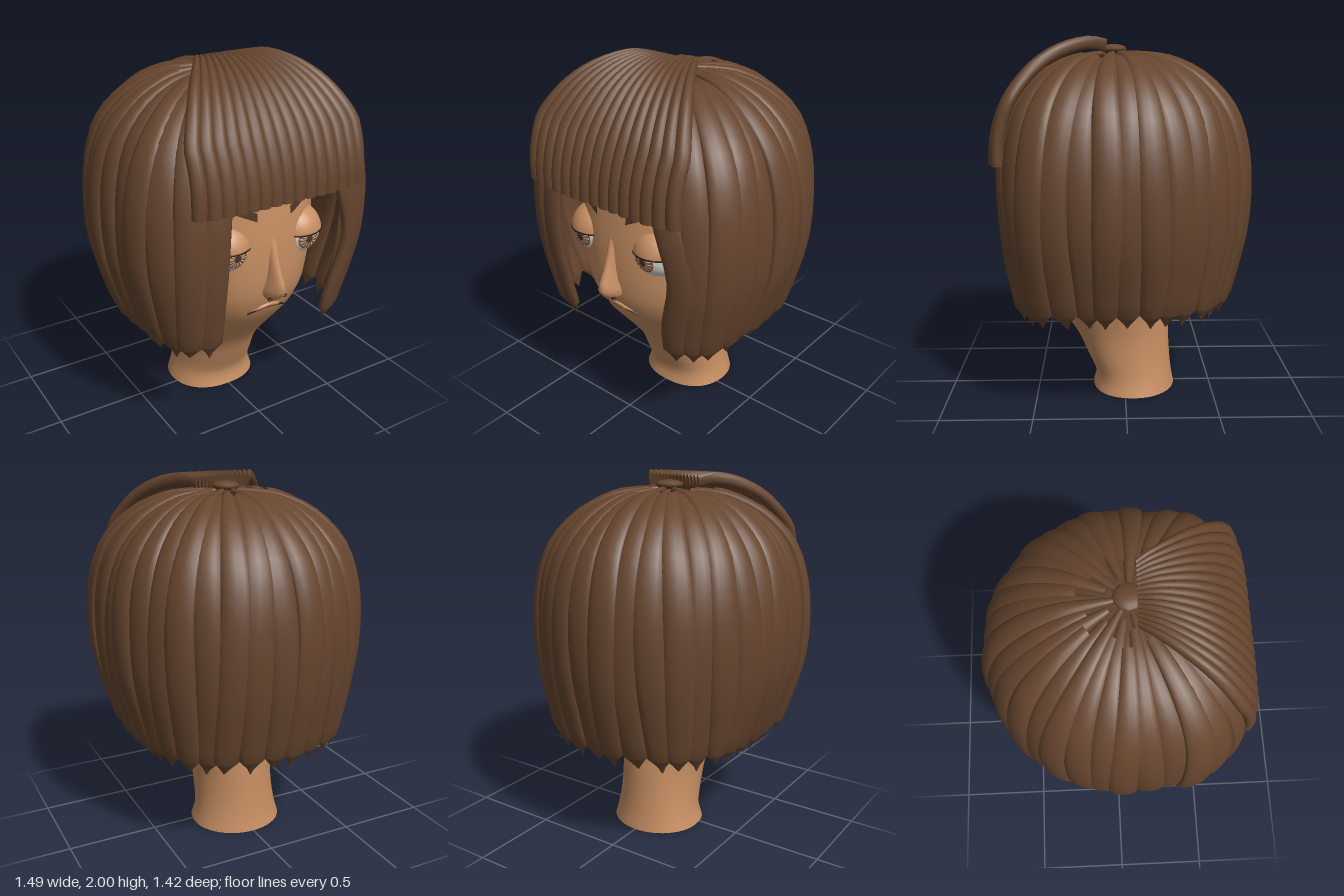
import * as THREE from 'three';

const mat = (name, color, side = THREE.FrontSide) => {
  const m = new THREE.MeshStandardMaterial({ color, side });
  m.name = name;
  return m;
};
const V = (x, y, z) => new THREE.Vector3(x, y, z);

// Smooth interpolation of a table whose first column is the parameter
function sample(tbl, t, col) {
  const n = tbl.length - 1;
  t = Math.min(Math.max(t, tbl[0][0]), tbl[n][0]);
  let i = 0;
  while (i < n - 1 && t > tbl[i + 1][0]) i++;
  const slope = (k) => {
    const a = tbl[Math.max(k - 1, 0)], b = tbl[Math.min(k + 1, n)];
    return (b[col] - a[col]) / (b[0] - a[0]);
  };
  const h = tbl[i + 1][0] - tbl[i][0], u = (t - tbl[i][0]) / h;
  const u2 = u * u, u3 = u2 * u;
  return (2 * u3 - 3 * u2 + 1) * tbl[i][col] + (u3 - 2 * u2 + u) * h * slope(i)
    + (3 * u2 - 2 * u3) * tbl[i + 1][col] + (u3 - u2) * h * slope(i + 1);
}

// Skin closed rings of points into a capped solid
function loft(rings) {
  const m = rings[0].length, pos = [], idx = [];
  const add = (ring) => ring.forEach((p) => pos.push(p.x, p.y, p.z));
  rings.forEach(add);
  for (let i = 0; i < rings.length - 1; i++) for (let j = 0; j < m; j++) {
    const a = i * m + j, b = i * m + (j + 1) % m;
    idx.push(a, b, a + m, b, b + m, a + m);
  }
  [rings[0], rings[rings.length - 1]].forEach((ring, end) => {
    const base = pos.length / 3;
    add(ring);
    const c = ring.reduce((s, p) => s.add(p), V(0, 0, 0)).divideScalar(m);
    pos.push(c.x, c.y, c.z);
    for (let j = 0; j < m; j++) {
      const a = base + j, b = base + (j + 1) % m;
      idx.push(base + m, end ? a : b, end ? b : a);
    }
  });
  const g = new THREE.BufferGeometry();
  g.setAttribute('position', new THREE.Float32BufferAttribute(pos, 3));
  g.setIndex(idx);
  g.computeVertexNormals();
  return g;
}

// Flattened lock of hair along points, with outward hints and half sizes
function lock(pts, outs, wide, thick, sides = 12) {
  return loft(pts.map((p, i) => {
    const T = pts[Math.min(i + 1, pts.length - 1)].clone().sub(pts[Math.max(i - 1, 0)]).normalize();
    const N = outs[i].clone().addScaledVector(T, -outs[i].dot(T)).normalize();
    const S = N.clone().cross(T);
    return Array.from({ length: sides }, (_, j) => {
      const a = j / sides * Math.PI * 2;
      return p.clone().addScaledVector(S, Math.cos(a) * wide[i]).addScaledVector(N, Math.sin(a) * thick[i]);
    });
  }));
}

// Head sections: height, half width, front z, back z
const HEAD = [[0, .26, .18, -.29], [.08, .237, .165, -.275], [.2, .225, .215, -.263], [.35, .228, .285, -.255],
  [.5, .265, .4, -.25], [.58, .31, .465, -.28], [.68, .36, .535, -.34], [.8, .41, .58, -.42], [1, .452, .595, -.5],
  [1.2, .47, .585, -.55], [1.4, .47, .555, -.56], [1.6, .43, .47, -.48], [1.75, .33, .34, -.36], [1.85, .17, .18, -.18]];
const pw = (v, e) => Math.sign(v) * Math.abs(v) ** e;
const headAt = (y) => [1, 2, 3].map((c) => sample(HEAD, y, c));
function faceZ(x, y) {
  const [w, f, b] = headAt(y);
  return (f + b) / 2 + (f - b) / 2 * (1 - Math.min(Math.abs(x) / w, 1) ** 2.3) ** (1 / 2.3);
}

// Hair profile: parameter, spread, height
const HAIR = [[0, .05, 1.935], [.1, .25, 1.92], [.22, .45, 1.885], [.34, .68, 1.79], [.46, .87, 1.635],
  [.58, .967, 1.44], [.7, 1, 1.22], [.8, .985, 1], [.9, .92, .8], [1, .84, .61]];
function hairRadius(th) {
  const c = Math.cos(th), p = c > 0 ? 3.2 : 2, h = c > 0 ? .64 : .77;
  return ((Math.abs(Math.sin(th)) / .74) ** p + (Math.abs(c) / h) ** p) ** (-1 / p);
}
function hairPoint(th, s, inset) {
  const f = sample(HAIR, s, 1), r = hairRadius(th) - inset;
  const x = Math.sin(th) * r, z = Math.cos(th) * r;
  if (s < .7) return V(x * f, sample(HAIR, s, 2) - inset * (1 - f), z * f + .06);
  const d = 1 - f;
  return V(x * (1 - 1.25 * d * (x / .74) ** 2), sample(HAIR, s, 2), z * (1 - .8 * d) + .06);
}
function hairOut(th, s) {
  const a = hairPoint(th + .02, s, 0).sub(hairPoint(th - .02, s, 0));
  const b = hairPoint(th, Math.min(s + .02, 1), 0).sub(hairPoint(th, Math.max(s - .02, 0), 0));
  const n = b.cross(a).normalize();
  return n.dot(hairPoint(th, s, 0).sub(V(0, 1, .06))) < 0 ? n.negate() : n;
}
// Inner sheet behind the locks
function shell(th0, th1, s1) {
  const g = new THREE.PlaneGeometry(1, 1, 64, 24), p = g.attributes.position;
  for (let i = 0; i < p.count; i++) {
    const q = hairPoint(th0 + (th1 - th0) * (p.getX(i) + .5), s1 * (.5 - p.getY(i)), .075);
    p.setXYZ(i, q.x, q.y, q.z);
  }
  g.computeVertexNormals();
  return g;
}

export function createModel() {
  const root = new THREE.Group();
  const skin = mat('skin', 0xc68e62), hair = mat('hair', 0x66452e);
  const hairInside = mat('inner hair', 0x5c3e29, THREE.DoubleSide);
  const brow = mat('brow', 0x4e3425, THREE.DoubleSide), dark = mat('dark line', 0x2b1c14);
  const white = mat('eye white', 0xd9d8d0), iris = mat('iris', 0x8f5831);
  const add = (name, geo, m, parent = root) => {
    const o = new THREE.Mesh(geo, m);
    o.name = name;
    parent.add(o);
    return o;
  };

  // Head and neck
  const rows = Array.from({ length: 48 }, (_, i) => i / 47 * 1.85);
  add('head', loft(rows.map((y) => {
    const [w, f, b] = headAt(y);
    return Array.from({ length: 48 }, (_, j) => {
      const a = j / 48 * Math.PI * 2, e = Math.cos(a) > 0 ? 2 / 2.3 : 1;
      return V(w * pw(Math.sin(a), e), y, (f + b) / 2 + (f - b) / 2 * pw(Math.cos(a), e));
    });
  })), skin);

  // Nose: height, half width, tip z
  const NOSE = [[.765, .014, .585], [.79, .04, .625], [.82, .06, .665], [.86, .055, .69], [.9, .042, .68],
    [.97, .034, .645], [1.05, .032, .615], [1.13, .028, .592]];
  add('nose', loft(NOSE.map(([y, w, z]) => Array.from({ length: 16 }, (_, j) => {
    const a = j / 16 * Math.PI * 2, back = faceZ(0, y) - .03;
    return V(w * Math.sin(a), y, back + (z - back) * Math.cos(a));
  }))), skin);

  // Mouth
  const lip = [-.115, -.06, 0, .06, .115].map((x) => {
    const y = .69 + .032 * (1 - (x / .115) ** 2);
    return V(x, y, faceZ(x, y) + .003);
  });
  add('mouth', new THREE.TubeGeometry(new THREE.CatmullRomCurve3(lip), 24, .006, 6), dark);
  const upper = lip.map((p) => V(p.x * .75, p.y + .012, p.z + .002));
  add('upperLip', new THREE.TubeGeometry(new THREE.CatmullRomCurve3(upper), 24, .012, 8), skin);

  for (const s of [-1, 1]) {
    const side = s > 0 ? 'left' : 'right';
    const nostril = add(side + 'Nostril', new THREE.SphereGeometry(.013, 10, 8), dark);
    nostril.position.set(s * .045, .81, .633);
    nostril.scale.set(1.2, .6, 1);

    // Eye with heavy upper lid
    const eye = new THREE.Group();
    eye.name = side + 'Eye';
    eye.position.set(s * .222, 1.09, .462);
    root.add(eye);
    add('eyeball', new THREE.SphereGeometry(.135, 32, 24), white, eye);
    add('upperLid', new THREE.SphereGeometry(.143, 32, 14, 0, Math.PI * 2, 0, 1.5), skin, eye);
    const lash = add('lashLine', new THREE.TorusGeometry(.141, .005, 6, 32, Math.PI), dark, eye);
    lash.rotation.x = Math.PI / 2;
    lash.position.y = .009;
    const look = new THREE.Group();
    look.rotation.x = Math.PI / 2 + .13;
    eye.add(look);
    for (let k = 0; k < 14; k++)
      add('irisRay', new THREE.SphereGeometry(.1375, 3, 4, k / 14 * Math.PI * 2, .29, .1, .36), iris, look);
    add('irisRing', new THREE.SphereGeometry(.1376, 32, 2, 0, Math.PI * 2, .41, .05), iris, look);
    add('pupil', new THREE.SphereGeometry(.138, 20, 4, 0, Math.PI * 2, 0, .15), brow, look);

    // Eyebrow plate following the forehead
    const g = new THREE.PlaneGeometry(1, 1, 10, 2), p = g.attributes.position;
    for (let i = 0; i < p.count; i++) {
      const u = p.getX(i) + .5, x = s * (.1 + .23 * u);
      const y = 1.26 + .075 * Math.min(u * 1.25, 1) - .015 * Math.max(0, u - .8) * 5
        + p.getY(i) * (u > .8 ? .03 - .1 * (u - .8) : .046 - .02 * u);
      p.setXYZ(i, x, y, faceZ(x, y) + .009);
    }
    g.computeVertexNormals();
    add(side + 'Eyebrow', g, brow);
  }

  // Inner hair sheets
  add('innerHair', shell(.66, Math.PI * 2 - .58, 1), hairInside);
  add('frontCap', shell(-.6, .68, .5), hairInside);
  const crown = add('crown', new THREE.SphereGeometry(.075, 10, 8), hair);
  crown.scale.y = .35;
  crown.position.set(0, 1.93, .06);

  // Locks around the sides and back, each ending in a point
  const COUNT = 30, TH0 = .63, TH1 = Math.PI * 2 - .575, step = (TH1 - TH0) / (COUNT - 1);
  for (let k = 0; k < COUNT; k++) {
    const th0 = TH0 + k * step, start = [.02, .12, .05, .15, .08][k % 5];
    const inset = Math.abs(Math.abs(th0 - Math.PI) - 1.78) < step / 2 ? .06 : .035 + .008 * Math.sin(k * 2.4);
    const pts = [], outs = [], wide = [], thick = [];
    for (let i = 0; i <= 22; i++) {
      const s = start + (1 - start) * i / 22, f = sample(HAIR, s, 1);
      const th = th0 + .02 * Math.sin(s * 7 + k * 1.9)
        + (k === 0 ? .12 * Math.exp(-(((s - .78) / .12) ** 2)) : 0);
      pts.push(hairPoint(th, s, inset));
      outs.push(hairOut(th, s));
      wide.push(hairRadius(th) * step * .62 * (.1 + .9 * f));
      thick.push(.012 + .023 * f);
    }
    const end = pts[22], dir = end.clone().sub(pts[21]).normalize(), w = wide[22];
    for (const [d, a] of [[.03, .62], [.06, .28], [.092 + .012 * Math.sin(k * 3.1), .03]]) {
      pts.push(end.clone().addScaledVector(dir, d));
      outs.push(outs[22]);
      wide.push(w * a);
      thick.push(.03 * a);
    }
    add('hairLock', lock(pts, outs, wide, thick), hair);
  }

  // Blunt fringe fanning forward from the crown
  const path = new THREE.CatmullRomCurve3([[.105, 1.95], [.19, 1.964], [.32, 1.935], [.44, 1.868], [.53, 1.78],
    [.6, 1.68], [.65, 1.56], [.673, 1.45], [.677, 1.36]].map(([z, y]) => V(0, y, z)));
  const BANGS = 15;
  for (let k = 0; k < BANGS; k++) {
    const u = (k - (BANGS - 1) / 2) / (BANGS / 2);
    const pts = [], outs = [], wide = [], thick = [];
    for (let i = 0; i <= 22; i++) {
      const c = path.getPoint(i / 22), t = path.getTangent(i / 22);
      const half = .16 + .34 * Math.min((c.z - .1) / .5, 1);
      pts.push(V(u * half, c.y, c.z - .05 * u ** 6 * i / 22));
      outs.push(V(u * .1, t.z, -t.y));
      wide.push(half / BANGS * 1.2);
      thick.push(.034);
    }
    add('fringeLock', lock(pts, outs, wide, thick), hair);
  }
  return root;
}
